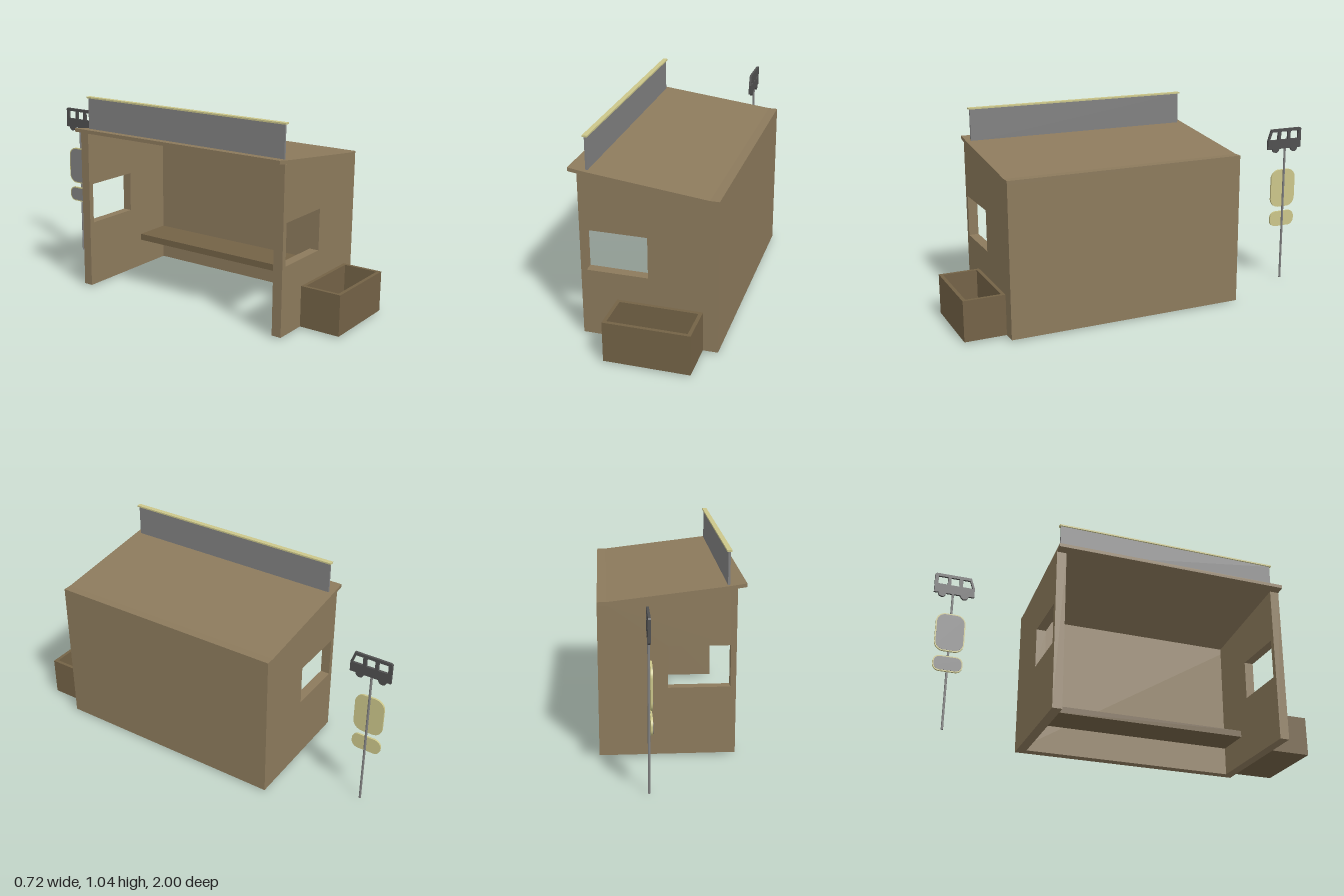
import * as THREE from 'three';

const mat = (color) => new THREE.MeshStandardMaterial({ color, flatShading: true });
const wood = mat(0x8c7a5c), darkWood = mat(0x736246), grey = mat(0x808080);
const dark = mat(0x505050), yellow = mat(0xcbc68a);

const BACK = -0.47, FRONT = 0.787, BASE = 0.008, T = 0.05;

function add(parent, name, geometry, material) {
  const mesh = new THREE.Mesh(geometry, material);
  mesh.name = name;
  parent.add(mesh);
  return mesh;
}

// Box given by its minimum and maximum corners
function box(parent, name, material, [x0, y0, z0], [x1, y1, z1]) {
  const g = new THREE.BoxGeometry(x1 - x0, y1 - y0, z1 - z0);
  g.translate((x0 + x1) / 2, (y0 + y1) / 2, (z0 + z1) / 2);
  return add(parent, name, g, material);
}

const polygon = (pts, Type = THREE.Shape) => new Type(pts.map(([a, b]) => new THREE.Vector2(a, b)));

// Extrude an (x, y) shape from z0 to z1
function alongZ(shape, z0, z1) {
  return new THREE.ExtrudeGeometry(shape, { depth: z1 - z0, bevelEnabled: false }).translate(0, 0, z0);
}

// Extrude a (z, y) shape from x0 to x1
function alongX(shape, x0, x1) {
  const g = new THREE.ExtrudeGeometry(shape, { depth: x1 - x0, bevelEnabled: false, curveSegments: 8 });
  return g.rotateY(-Math.PI / 2).translate(x1, 0, 0);
}

function roundedRect(z0, z1, y0, y1, r) {
  const s = new THREE.Shape();
  s.absarc(z1 - r, y1 - r, r, 0, Math.PI / 2);
  s.absarc(z0 + r, y1 - r, r, Math.PI / 2, Math.PI);
  s.absarc(z0 + r, y0 + r, r, Math.PI, Math.PI * 1.5);
  s.absarc(z1 - r, y0 + r, r, Math.PI * 1.5, Math.PI * 2);
  s.closePath();
  return s;
}

function buildShelter() {
  const shelter = new THREE.Group();
  shelter.name = 'shelter';

  // Two end walls with a window each
  const wall = polygon([[-0.318, BASE], [0.31, BASE], [0.31, 0.779], [-0.28, 0.848], [-0.318, 0.853]]);
  wall.holes.push(polygon([[-0.29, 0.357], [-0.29, 0.57], [0.017, 0.57], [0.017, 0.357]], THREE.Path));
  add(shelter, 'frontEndWall', alongZ(wall, FRONT - T, FRONT), wood);
  add(shelter, 'backEndWall', alongZ(wall, BACK, BACK + T), wood);

  // Closed long wall and sloping roof
  box(shelter, 'longWall', wood, [0.31, BASE, BACK], [0.36, 0.779, FRONT]);
  const roof = polygon([[-0.363, 0.86], [-0.28, 0.848], [0.31, 0.779], [0.36, 0.779],
    [0.36, 0.797], [0.314, 0.797], [-0.28, 0.866], [-0.363, 0.878]]);
  add(shelter, 'roof', alongZ(roof, BACK, FRONT), wood);

  // Bench along the long wall
  box(shelter, 'bench', darkWood, [0.104, 0.16, BACK + T], [0.31, 0.195, FRONT - T]);

  // Sign board on the roof with a cap strip
  box(shelter, 'roofBoard', grey, [-0.284, 0.86, -0.443], [-0.273, 1.03, 0.762]);
  box(shelter, 'roofBoardCap', yellow, [-0.291, 1.029, -0.45], [-0.266, 1.037, 0.77]);
  return shelter;
}

// Open-topped planter against the front end wall
function buildPlanter() {
  const planter = new THREE.Group();
  planter.name = 'planter';
  const [x0, x1, z0, z1, top, t] = [-0.14, 0.286, FRONT, 1, 0.217, 0.018];
  const rim = polygon([[x0, -z0], [x0, -z1], [x1, -z1], [x1, -z0]]);
  rim.holes.push(polygon([[x0 + t, -z0 - t], [x1 - t, -z0 - t], [x1 - t, -z1 + t], [x0 + t, -z1 + t]], THREE.Path));
  const sides = new THREE.ExtrudeGeometry(rim, { depth: top - BASE, bevelEnabled: false });
  add(planter, 'planterSides', sides.rotateX(-Math.PI / 2).translate(0, BASE, 0), darkWood);
  box(planter, 'planterFloor', darkWood, [x0 + t, BASE, z0 + t], [x1 - t, BASE + t, z1 - t]);
  return planter;
}

function buildStopSign() {
  const sign = new THREE.Group();
  sign.name = 'stopSign';

  // Pole
  const pole = new THREE.CylinderGeometry(0.006, 0.006, 0.76, 12);
  add(sign, 'pole', pole.translate(0.132, 0.38, -0.9), grey);

  // Vehicle cut-out with wheels and windows
  const bus = new THREE.Shape();
  bus.moveTo(-1, 0.752);
  for (const z of [-0.957, -0.839]) {
    bus.lineTo(z - 0.021, 0.752);
    bus.absarc(z, 0.752, 0.021, Math.PI, Math.PI * 2);
  }
  for (const [z, y] of [[-0.787, 0.752], [-0.787, 0.805], [-0.807, 0.863], [-0.993, 0.863], [-1, 0.856]]) bus.lineTo(z, y);
  bus.closePath();
  for (const [a, b, c] of [[-0.981, -0.931, -0.931], [-0.914, -0.869, -0.869], [-0.851, -0.798, -0.813]]) {
    bus.holes.push(polygon([[a, 0.803], [a, 0.847], [c, 0.847], [b, 0.803]], THREE.Path));
  }
  add(sign, 'vehicleCutout', alongX(bus, 0.126, 0.138), dark);

  // Two rounded plates with grey inset faces
  const plates = [['upper', 0.418, 0.63, 0.05], ['lower', 0.306, 0.391, 0.036]];
  for (const [name, y0, y1, r] of plates) {
    const e = 0.006;
    add(sign, name + 'Plate', alongX(roundedRect(-0.978, -0.824, y0, y1, r), 0.117, 0.127), yellow);
    add(sign, name + 'PlateFace', alongX(roundedRect(-0.978 + e, -0.824 - e, y0 + e, y1 - e, r - e), 0.116, 0.118), grey);
  }
  return sign;
}

export function createModel() {
  const model = new THREE.Group();
  model.name = 'busShelter';
  model.add(buildShelter(), buildPlanter(), buildStopSign());
  return model;
}
